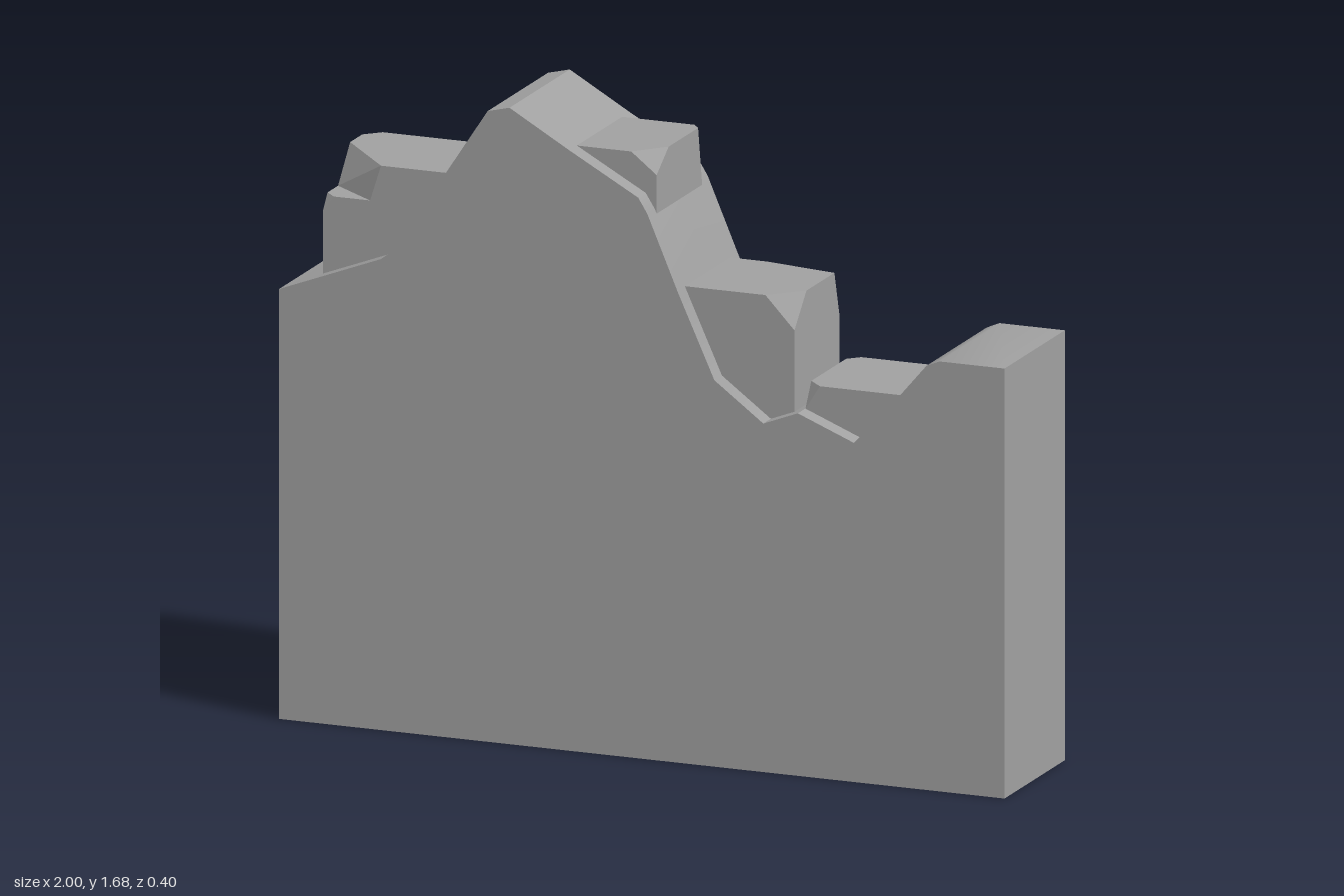
import * as THREE from 'three';
import { toCreasedNormals } from 'three/addons/utils/BufferGeometryUtils.js';
import { ConvexGeometry } from 'three/addons/geometries/ConvexGeometry.js';

const D = 0.15; // half depth of every rock

// Corners of a block; the cuts replace a top corner (keyed by x side and z side) with new points
function blockPoints(x0, x1, y0, y1, cuts = {}) {
  const points = [];
  for (const [sx, x] of [['L', x0], ['R', x1]]) {
    for (const [sz, z] of [['F', D], ['B', -D]]) {
      points.push([x, y0, z], ...(cuts[sx + sz] || [[x, y1, z]]));
    }
  }
  return points;
}

export function createModel() {
  const group = new THREE.Group();
  const stone = new THREE.MeshStandardMaterial({ color: 0xa0a0a0 });
  stone.name = 'grey stone';

  const add = (name, geometry) => {
    const mesh = new THREE.Mesh(geometry, stone);
    mesh.name = name;
    group.add(mesh);
  };
  const addRock = (name, points) =>
    add(name, new ConvexGeometry(points.map(p => new THREE.Vector3(...p))));

  // Ridge slab: mountain profile with a flat base
  const profile = [
    [-1, 0], [1, 0], [1, 1.135], [0.82, 1.135], [0.785, 1.12], [0.7, 1.02],
    [0.585, 0.895], [0.43, 0.957], [0.335, 0.92], [0.2, 1.02], [0.1, 1.24],
    [0.015, 1.44], [-0.01, 1.48], [-0.2, 1.585], [-0.365, 1.68], [-0.425, 1.665],
    [-0.55, 1.475], [-0.69, 1.265], [-0.72, 1.243],
  ].concat([[-1, 1.135]]);
  const shape = new THREE.Shape(profile.map(p => new THREE.Vector2(...p)));
  const slab = new THREE.ExtrudeGeometry(shape, { depth: 0.4, bevelEnabled: false });
  slab.translate(0, 0, -0.2);
  add('ridgeSlab', toCreasedNormals(slab, 0.6));

  // Far right-hand rock: stepped front corner, made of a base and a cut-back cap
  addRock('steppedRockBase', blockPoints(-0.9, -0.5, 1.12, 1.38, {
    LF: [[-0.9, 1.38, 0.12], [-0.87, 1.38, D], [-0.9, 1.34, D]],
  }));
  addRock('steppedRockCap', [
    [-0.9, 1.38, -D], [-0.5, 1.38, -D], [-0.5, 1.38, D], [-0.77, 1.38, D], [-0.9, 1.38, 0.05],
    [-0.9, 1.475, -0.11], [-0.86, 1.475, -D], [-0.5, 1.475, -D], [-0.5, 1.475, D],
    [-0.74, 1.475, D], [-0.9, 1.475, -0.03],
  ]);

  // Rock near the summit
  addRock('summitRock', blockPoints(-0.25, 0.02, 1.35, 1.585, {
    RF: [[-0.05, 1.585, D], [0.02, 1.53, D], [0.02, 1.585, 0.07]],
    RB: [[0, 1.585, -D], [0.02, 1.585, -0.125], [0.02, 1.44, -D]],
  }));

  // Tall rock on the slope
  addRock('slopeRock', blockPoints(0.06, 0.4, 0.9, 1.245, {
    RF: [[0.32, 1.245, D], [0.4, 1.16, D], [0.4, 1.245, 0.07]],
    RB: [[0.2, 1.245, -D], [0.4, 1.245, -0.115], [0.4, 1.12, -D]],
  }));

  // Low rock in the valley
  addRock('valleyRock', blockPoints(0.43, 0.74, 0.88, 1.02, {
    LF: [[0.43, 1.02, 0.11], [0.47, 1.02, D], [0.43, 0.955, D]],
    LB: [[0.43, 1.02, -0.12], [0.46, 1.02, -D], [0.43, 0.96, -D]],
  }));

  return group;
}
